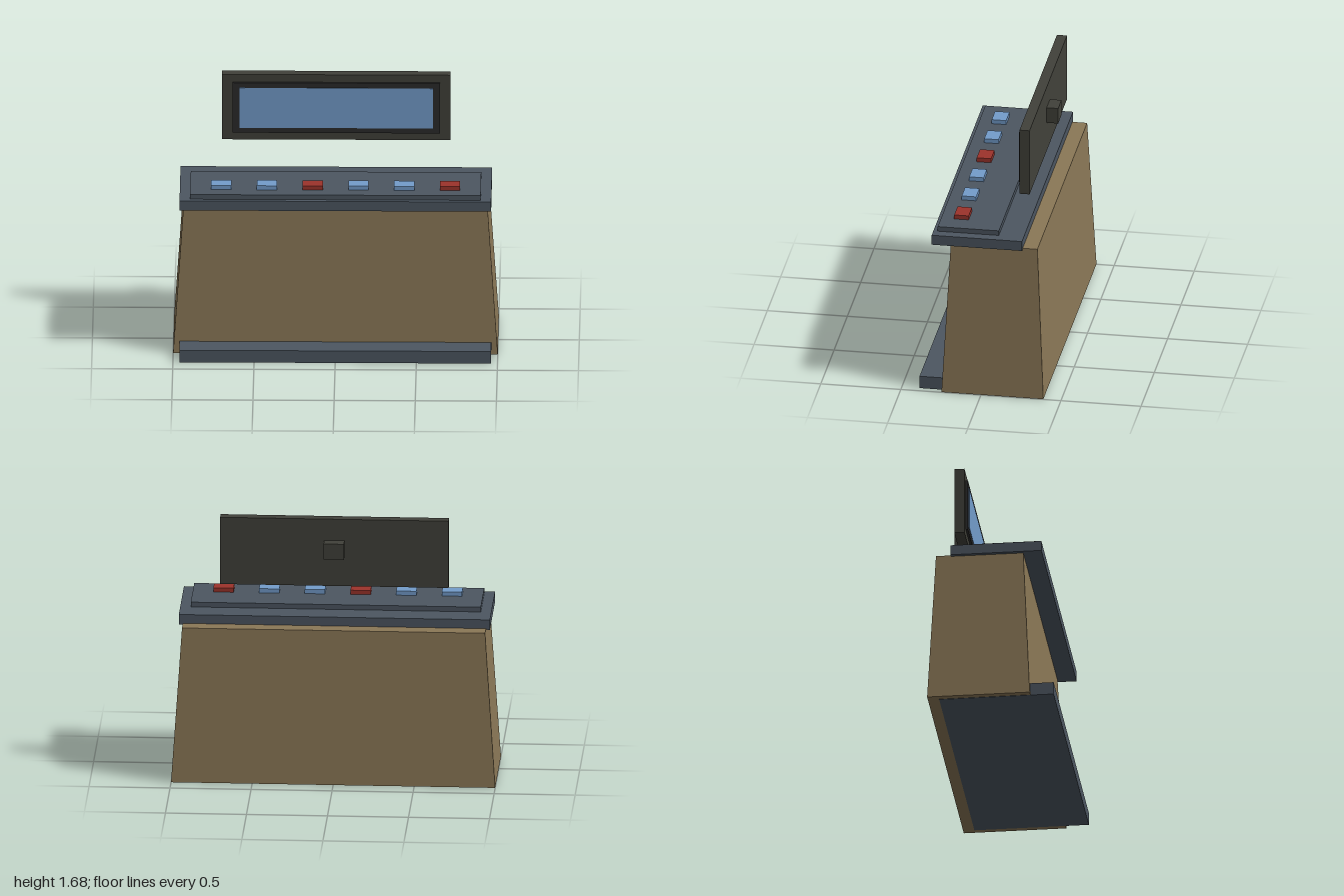
import * as THREE from 'three';

const mat = (name, color) => {
  const m = new THREE.MeshStandardMaterial({ color });
  m.name = name;
  return m;
};

export function createModel() {
  const group = new THREE.Group();
  const brown = mat('brown', 0x8a7756);
  const slate = mat('slate', 0x4c5661);
  const olive = mat('dark olive', 0x41413a);
  const black = mat('near black', 0x2b2b2b);
  const blue = mat('light blue', 0x739ccb);
  const red = mat('red', 0x9c332b);

  // Box given by its minimum and maximum on each axis
  const box = (name, material, [x0, x1], [y0, y1], [z0, z1]) => {
    const mesh = new THREE.Mesh(new THREE.BoxGeometry(x1 - x0, y1 - y0, z1 - z0), material);
    mesh.position.set((x0 + x1) / 2, (y0 + y1) / 2, (z0 + z1) / 2);
    mesh.name = name;
    group.add(mesh);
    return mesh;
  };

  // Cabinet: a box whose upper corners are drawn inwards
  const cabinet = box('cabinet', brown, [-1, 1], [0.002, 0.987], [-0.39, 0.246]);
  const pos = cabinet.geometry.attributes.position;
  for (let i = 0; i < pos.count; i++) {
    if (pos.getY(i) > 0) {
      pos.setX(i, pos.getX(i) * 0.935);
      pos.setZ(i, pos.getZ(i) * 0.85);
    }
  }
  cabinet.geometry.computeVertexNormals();

  // Plinth, worktop and raised control panel
  box('plinth', slate, [-0.96, 0.96], [0, 0.08], [-0.32, 0.39]);
  box('worktop', slate, [-0.96, 0.96], [0.98, 1.044], [-0.25, 0.314]);
  box('controlPanel', slate, [-0.895, 0.895], [1.04, 1.075], [-0.095, 0.287]);

  // Row of six buttons, every third one red
  for (let i = 0; i < 6; i++) {
    const x = (i - 2.5) * 0.282;
    box('button', i % 3 === 2 ? red : blue, [x - 0.0625, x + 0.0625], [1.07, 1.102], [0.115, 0.205]);
  }

  // Floating display with bezel, screen and rear mount
  box('displayHousing', olive, [-0.705, 0.705], [1.248, 1.68], [-0.255, -0.192]);
  box('displayBezel', black, [-0.64, 0.64], [1.298, 1.63], [-0.2, -0.178]);
  box('displayScreen', blue, [-0.597, 0.597], [1.332, 1.597], [-0.179, -0.174]);
  box('displayMount', olive, [-0.0625, 0.0625], [1.44, 1.542], [-0.327, -0.25]);

  return group;
}
